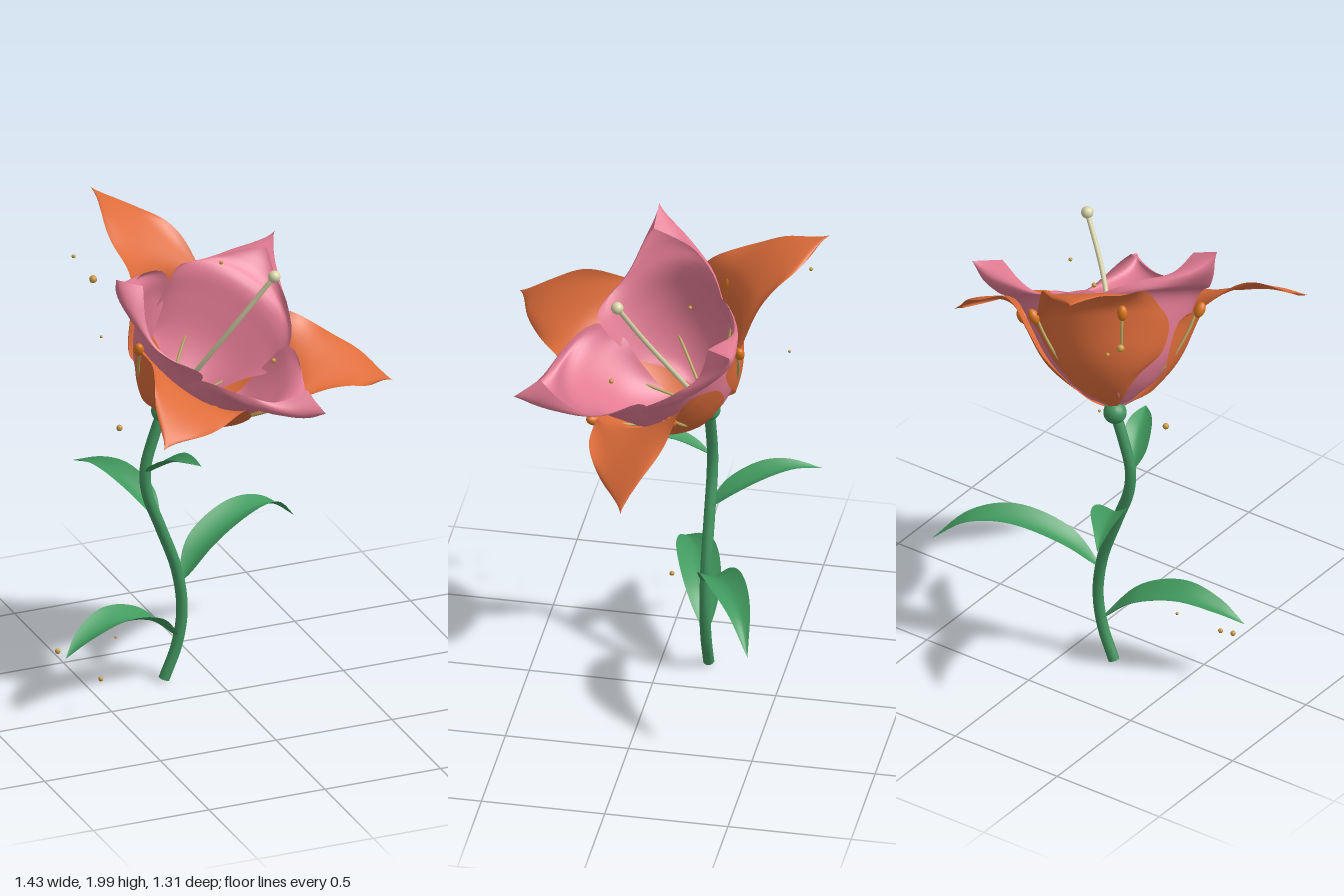
import * as THREE from 'three';

const V = (x, y, z) => new THREE.Vector3(x, y, z);
const paint = (name, color, side = THREE.FrontSide) => {
  const m = new THREE.MeshStandardMaterial({ color, side });
  m.name = name;
  return m;
};

// Smooth open sheet from a rule f(t, u): t runs 0..1 along it, u runs -1..1 across it
function sheet(f, nt = 32, nu = 20) {
  const pos = [], idx = [];
  for (let i = 0; i <= nt; i++) {
    for (let j = 0; j <= nu; j++) pos.push(...f(i / nt, (2 * j) / nu - 1).toArray());
  }
  for (let i = 0; i < nt; i++) {
    for (let j = 0; j < nu; j++) {
      const a = i * (nu + 1) + j, b = a + nu + 1;
      idx.push(a, b, a + 1, b, b + 1, a + 1);
    }
  }
  const g = new THREE.BufferGeometry();
  g.setAttribute('position', new THREE.Float32BufferAttribute(pos, 3));
  g.setIndex(idx);
  g.computeVertexNormals();
  return g;
}

// Petal wrapped round the flower axis; each profile row is [radius, height, half angle in degrees]
function petal(rows, cup, ripple) {
  const curve = new THREE.CatmullRomCurve3(rows.map(([r, h, a]) => V(r, h, THREE.MathUtils.degToRad(a))));
  return sheet((t, u) => {
    const p = curve.getPoint(t);
    const angle = u * Math.max(0, p.z);
    const r = p.x * (1 - cup * t * u * u);
    const h = p.y + ripple * Math.sin(Math.PI * t) * u ** 4 * Math.sin(16 * t + 2 * u);
    return V(r * Math.cos(angle), h, r * Math.sin(angle));
  }, 44, 24);
}

// Arched leaf with a fold along its midrib
function leaf(points, halfWidth) {
  const curve = new THREE.CatmullRomCurve3(points.map((p) => V(...p)));
  const along = points[points.length - 1].map((v, i) => v - points[0][i]);
  const across = V(-along[2], 0, along[0]).normalize();
  return sheet((t, u) => {
    const w = halfWidth * (0.12 * (1 - t) + Math.sin(Math.PI * t ** 0.8));
    const p = curve.getPoint(t).addScaledVector(across, u * w);
    p.y += 0.45 * w * (Math.abs(u) ** 1.5 - 0.4);
    return p;
  }, 28, 8);
}

export function createModel() {
  const model = new THREE.Group();
  model.name = 'flower';
  const stemGreen = paint('stem green', 0x429560);
  const leafGreen = paint('leaf green', 0x419a5e, THREE.DoubleSide);
  const pink = paint('petal pink', 0xe27b92, THREE.DoubleSide);
  const orange = paint('petal orange', 0xdd6c3a, THREE.DoubleSide);
  const cream = paint('pistil cream', 0xd9d5aa);
  const filamentTan = paint('filament tan', 0xb9a860);
  const antherOrange = paint('anther orange', 0xd8741c);
  const gold = paint('pollen gold', 0xc99a45);

  const add = (parent, name, geometry, material, at) => {
    const m = new THREE.Mesh(geometry, material);
    m.name = name;
    if (at) m.position.set(...at);
    parent.add(m);
    return m;
  };
  const tube = (points, radius) =>
    new THREE.TubeGeometry(new THREE.CatmullRomCurve3(points), 40, radius, 10);

  // Stem, a curved tube with a closed foot
  const stemPoints = [[-0.195, 0.01], [-0.14, 0.15], [-0.117, 0.3], [-0.14, 0.48], [-0.21, 0.68],
    [-0.268, 0.84], [-0.275, 0.95], [-0.24, 1.08], [-0.2, 1.19]].map(([x, y]) => V(x, y, -0.19));
  add(model, 'stem', tube(stemPoints, 0.023), stemGreen);
  const foot = add(model, 'stemFoot', new THREE.CircleGeometry(0.023, 10), stemGreen, stemPoints[0].toArray());
  foot.lookAt(stemPoints[0].clone().multiplyScalar(2).sub(stemPoints[1]));

  // Leaves
  [
    [[[-0.14, 0.19, -0.19], [-0.27, 0.31, -0.15], [-0.45, 0.36, -0.09], [-0.6, 0.325, -0.04], [-0.7, 0.27, 0]], 0.078],
    [[[-0.12, 0.43, -0.19], [-0.01, 0.54, -0.25], [0.2, 0.615, -0.34], [0.36, 0.59, -0.42], [0.49, 0.48, -0.48]], 0.073],
    [[[-0.22, 0.72, -0.19], [-0.25, 0.79, -0.27], [-0.31, 0.85, -0.4], [-0.36, 0.86, -0.5], [-0.415, 0.83, -0.61]], 0.062],
    [[[-0.27, 0.93, -0.19], [-0.25, 0.98, -0.13], [-0.21, 1.04, -0.04], [-0.18, 1.055, 0.03], [-0.15, 1.055, 0.09]], 0.05],
  ].forEach(([points, width], i) => add(model, 'leaf' + (i + 1), leaf(points, width), leafGreen));

  // Flower head, tilted on its own axis
  const head = new THREE.Group();
  head.name = 'flowerHead';
  const axis = V(0.35, 0.84, 0.42).normalize();
  const side = V(0.92, -0.38, 0);
  side.addScaledVector(axis, -side.dot(axis)).normalize();
  head.quaternion.setFromRotationMatrix(
    new THREE.Matrix4().makeBasis(side, axis, side.clone().cross(axis)));
  head.position.set(-0.2, 1.19, -0.19);
  model.add(head);
  add(head, 'receptacle', new THREE.SphereGeometry(0.047, 20, 14), stemGreen);

  // Three wide inner petals, and three long outer petals that narrow to a claw at the base
  const inner = petal([[0.02, 0.02, 25], [0.09, 0.06, 36], [0.18, 0.125, 48], [0.262, 0.225, 58], [0.322, 0.35, 64],
    [0.362, 0.44, 62], [0.46, 0.495, 31], [0.53, 0.55, 14], [0.575, 0.625, 0]], 0.22, 0.035);
  const outer = petal([[0.03, 0.02, 25], [0.11, 0.06, 30], [0.2, 0.125, 40], [0.285, 0.23, 54], [0.345, 0.35, 54],
    [0.395, 0.425, 39], [0.48, 0.465, 26], [0.6, 0.48, 16], [0.71, 0.47, 8.5], [0.83, 0.435, 0]], 0.05, 0.025);
  for (let k = 0; k < 3; k++) {
    const turn = (-k * 2 * Math.PI) / 3;
    add(head, 'outerPetal', outer, orange).rotation.y = turn;
    add(head, 'innerPetal', inner, pink).rotation.y = turn - Math.PI / 3;
  }

  // Six stamens that reach out past the cup
  const filament = tube([V(0.02, 0.02, 0), V(0.13, 0.1, 0), V(0.25, 0.2, 0), V(0.33, 0.31, 0), V(0.375, 0.4, 0)], 0.006);
  const anther = new THREE.SphereGeometry(0.021, 14, 10).scale(1, 1.6, 1);
  for (let k = 0; k < 6; k++) {
    const stamen = new THREE.Group();
    stamen.name = 'stamen';
    stamen.rotation.y = -THREE.MathUtils.degToRad(42 + 60 * k);
    add(stamen, 'filament', filament, filamentTan);
    add(stamen, 'anther', anther, antherOrange, [0.385, 0.395, 0]).rotation.z = -0.5;
    head.add(stamen);
  }

  // Pistil with a round tip
  add(head, 'pistil', tube([V(0, 0, 0), V(0.01, 0.28, 0.01), V(0.035, 0.55, 0), V(0.075, 0.8, -0.035)], 0.01), cream);
  add(head, 'stigma', new THREE.SphereGeometry(0.025, 16, 12), cream, [0.075, 0.8, -0.035]);

  // Drifting pollen: x, y, z, radius
  [
    [-0.41, 1.175, -0.135, 0.013], [-0.56, 0.17, 0.03, 0.01], [-0.7, 0.27, -0.08, 0.011],
    [0.04, 1.81, -0.16, 0.008], [0.14, 1.49, 0.14, 0.01], [-0.43, 1.75, -0.56, 0.008],
    [-0.4, 1.7, -0.43, 0.016], [-0.34, 1.41, -0.49, 0.006], [-0.44, 0.275, -0.1, 0.006],
  ].forEach(([x, y, z, r]) => add(model, 'pollen', new THREE.SphereGeometry(r, 10, 8), gold, [x, y, z]));

  return model;
}
